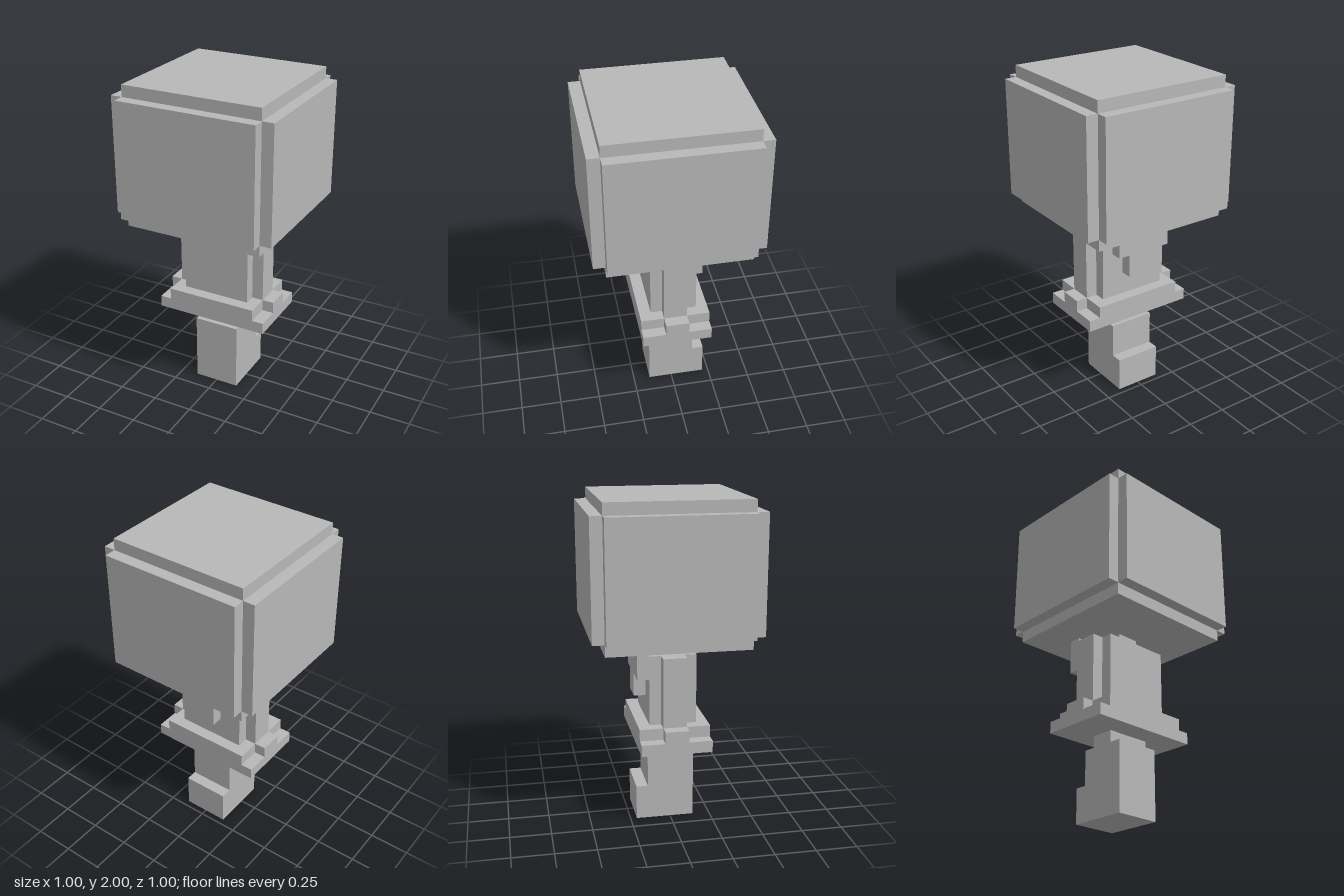
import * as THREE from 'three';

const U = 1 / 14; // one block; the figure is 28 blocks tall

export function createModel() {
  const model = new THREE.Group();
  model.name = 'blockFigure';
  const grey = new THREE.MeshStandardMaterial({ color: 0xb8b8b8 });
  grey.name = 'plainGrey';

  // Box given by its limits in blocks
  const block = (parent, name, [x0, x1], [y0, y1], [z0, z1]) => {
    const geo = new THREE.BoxGeometry((x1 - x0) * U, (y1 - y0) * U, (z1 - z0) * U);
    const mesh = new THREE.Mesh(geo, grey);
    mesh.name = name;
    mesh.position.set((x0 + x1) / 2 * U, (y0 + y1) / 2 * U, (z0 + z1) / 2 * U);
    parent.add(mesh);
  };
  const part = (name) => {
    const group = new THREE.Group();
    group.name = name;
    model.add(group);
    return group;
  };

  // Head: cube with a raised plate on every side
  const head = part('head');
  block(head, 'headCore', [-6, 6], [16, 28], [-6, 6]);
  block(head, 'frontPlate', [-6, 6], [17, 27], [6, 7]);
  block(head, 'backPlate', [-6, 6], [17, 27], [-7, -6]);
  block(head, 'leftPlate', [6, 7], [17, 27], [-6, 6]);
  block(head, 'rightPlate', [-7, -6], [17, 27], [-6, 6]);

  // Neck, torso and arms
  const body = part('body');
  block(body, 'neck', [-1, 1], [15, 16], [-1, 1]);
  block(body, 'torso', [-3, 3], [9, 15], [-2, 2]);
  block(body, 'leftArm', [3, 4], [9, 15], [-1, 1]);
  block(body, 'rightArm', [-4, -3], [9, 15], [-1, 1]);

  // Stepped skirt with the hands resting on its sides
  const skirt = part('skirt');
  block(skirt, 'skirtHem', [-5, 5], [7, 8], [-3, 3]);
  block(skirt, 'skirtTop', [-4, 4], [8, 9], [-3, 3]);
  block(skirt, 'leftHand', [4, 5], [8, 9], [-1, 1]);
  block(skirt, 'rightHand', [-5, -4], [8, 9], [-1, 1]);

  // Legs with a foot step at the back
  const legs = part('legs');
  block(legs, 'hip', [-2, 2], [6, 7], [-1, 1]);
  block(legs, 'leg', [-2, 2], [0, 6], [-2, 2]);
  block(legs, 'foot', [-2, 2], [0, 3], [-3, -2]);

  // Notched lock hanging against the back of the torso
  const outline = [[-3, 16], [-3, 13], [-1, 13], [-1, 11], [1, 11], [1, 13],
    [2, 13], [2, 16], [0, 16], [0, 15], [-1, 15], [-1, 16]];
  const shape = new THREE.Shape(outline.map(([x, y]) => new THREE.Vector2(x * U, y * U)));
  const lock = new THREE.Mesh(
    new THREE.ExtrudeGeometry(shape, { depth: U, bevelEnabled: false }), grey);
  lock.name = 'hangingLock';
  lock.position.z = -3 * U;
  model.add(lock);

  model.position.z = 0.003;
  return model;
}
